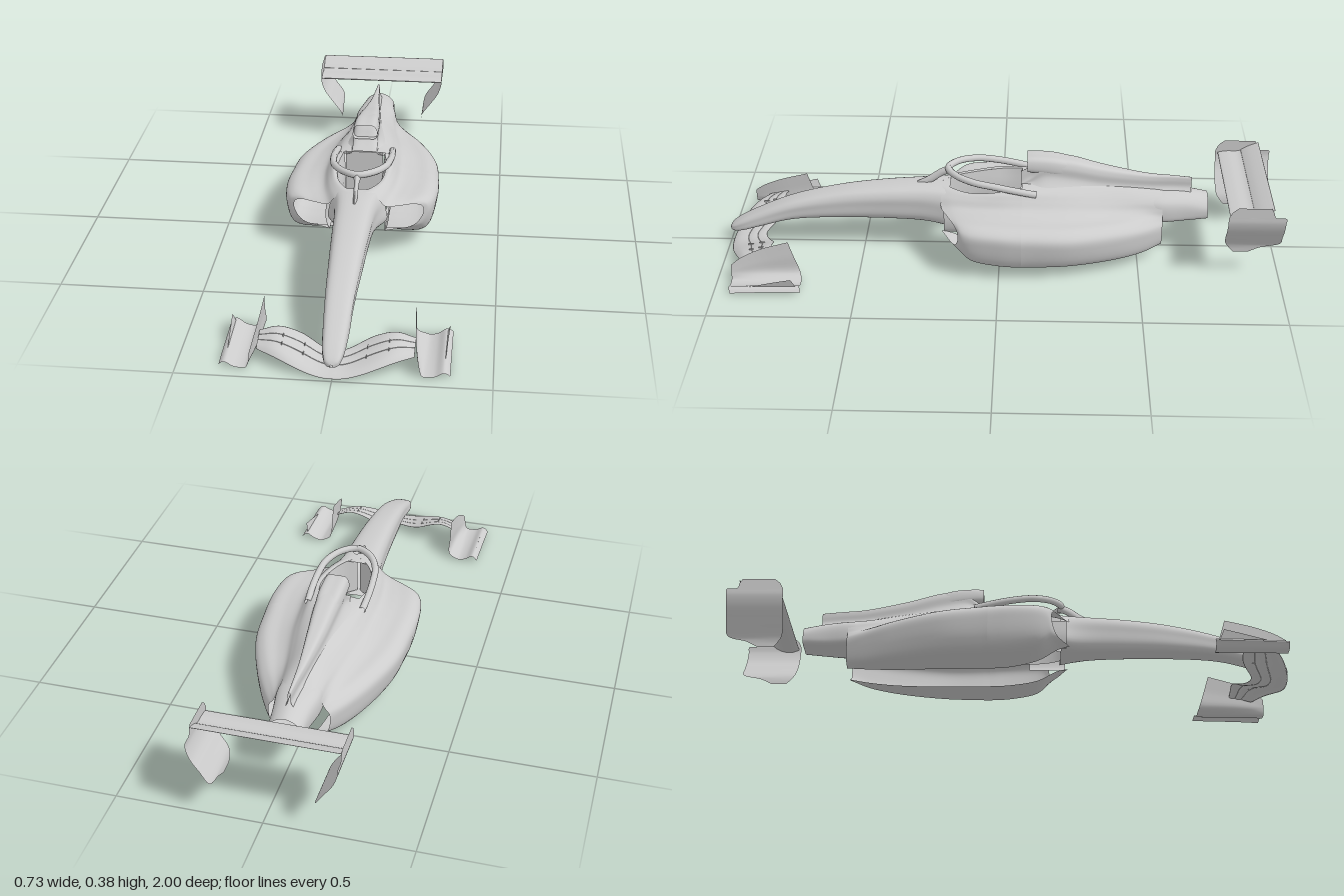
import * as THREE from 'three';

const paint = new THREE.MeshStandardMaterial({ color: 0xcccccc, side: THREE.DoubleSide });
paint.name = 'bodyGrey';

const spline = (pts, closed) => new THREE.CatmullRomCurve3(pts, closed, 'centripetal');
const step = (a, b, x) => THREE.MathUtils.smoothstep(x, a, b);

// Smooth skin through rows of [x, y, z] points; closed rows make a ring
function loft(rows, nu, nv, closed = false) {
  const rings = rows.map(r => {
    const c = spline(r.map(p => new THREE.Vector3(...p)), closed);
    return Array.from({ length: closed ? nu : nu + 1 }, (_, i) => c.getPoint(i / nu));
  });
  const n = rings[0].length, pos = [], idx = [];
  const columns = rings[0].map((_, i) => spline(rings.map(r => r[i]), false));
  for (let j = 0; j <= nv; j++) for (const c of columns) pos.push(...c.getPoint(j / nv).toArray());
  for (let j = 0; j < nv; j++) for (let i = 0; i < nu; i++) {
    const a = j * n + i, b = j * n + (i + 1) % n;
    idx.push(a, b, a + n, b, b + n, a + n);
  }
  const g = new THREE.BufferGeometry();
  g.setAttribute('position', new THREE.Float32BufferAttribute(pos, 3));
  g.setIndex(idx);
  g.computeVertexNormals();
  return g;
}

const flip = (rows, s) => rows.map(r => r.map(([x, y, z]) => [x * s, y, z]));
// Half row starting on the centre line -> full row
const full = row => [...row.slice(1).reverse().map(([x, y, z]) => [-x, y, z]), ...row];
// Half ring whose first and last points lie on the centre line -> whole ring
const ring = row => [...row, ...row.slice(1, -1).reverse().map(([x, y, z]) => [-x, y, z])];

export function createModel() {
  const model = new THREE.Group();
  const add = (name, geometry) => {
    const m = new THREE.Mesh(geometry, paint);
    m.name = name;
    model.add(m);
    return m;
  };
  const sides = fn => [[1, 'left'], [-1, 'right']].forEach(([s, n]) => fn(s, n));

  // Nose: z, half width at top and bottom, top, bottom
  const nose = [
    [0.998, 0.004, 0.004, 0.062, 0.054], [0.99, 0.02, 0.02, 0.074, 0.05], [0.96, 0.031, 0.032, 0.096, 0.052],
    [0.89, 0.038, 0.042, 0.132, 0.074], [0.76, 0.046, 0.047, 0.186, 0.11], [0.57, 0.055, 0.056, 0.232, 0.124],
    [0.41, 0.063, 0.062, 0.252, 0.125], [0.29, 0.069, 0.07, 0.26, 0.122], [0.23, 0.077, 0.085, 0.262, 0.118], [0.18, 0.09, 0.11, 0.261, 0.115],
  ].map(([z, wt, wb, t, b]) => {
    const h = t - b;
    return ring([[0, t, z], [wt * 0.75, t - h * 0.06, z], [wt, t - h * 0.25, z], [(wt + wb) / 2, b + h * 0.5, z],
      [wb * 0.95, b + h * 0.2, z], [wb * 0.65, b + h * 0.02, z], [0, b, z]]);
  });
  add('nose', loft(nose, 48, 64, true));

  // Side body, from cockpit rim over the shoulder to the floor's inner edge
  const front = [
    [0.21, [[0.005, 0.262], [0.04, 0.259], [0.075, 0.24], [0.1, 0.212], [0.15, 0.204], [0.2, 0.2], [0.228, 0.186], [0.23, 0.155], [0.2, 0.118], [0.1, 0.115]]],
    [0.17, [[0.045, 0.26], [0.065, 0.258], [0.09, 0.243], [0.115, 0.22], [0.16, 0.211], [0.216, 0.207], [0.245, 0.19], [0.249, 0.155], [0.222, 0.108], [0.096, 0.104]]],
    [0.1, [[0.078, 0.259], [0.09, 0.26], [0.108, 0.247], [0.13, 0.223], [0.175, 0.215], [0.235, 0.21], [0.261, 0.19], [0.264, 0.155], [0.234, 0.075], [0.09, 0.065]]],
    [0, [[0.087, 0.27], [0.104, 0.27], [0.12, 0.251], [0.14, 0.226], [0.19, 0.214], [0.245, 0.208], [0.273, 0.187], [0.275, 0.15], [0.24, 0.055], [0.082, 0.043]]],
    [-0.08, [[0.075, 0.28], [0.1, 0.273], [0.118, 0.251], [0.14, 0.226], [0.19, 0.211], [0.245, 0.204], [0.272, 0.181], [0.275, 0.146], [0.24, 0.05], [0.08, 0.038]]],
  ].map(([z, r], i) => r.map(([x, y]) => [x, y, z - Math.max(0, x - 0.1) * [0.5, 0.25, 0, 0, 0][i]]));
  const rim = front.map(r => r[0]);
  const inlet = [0.2, 0.14, 0.07].map(z => [[0.108, 0.212, z], [0.112, 0.16, z], [0.106, 0.125, z], [0.097, 0.108, z]]);
  sides((s, n) => {
    add(n + 'SidepodFront', loft(flip(front, s), 54, 24));
    add(n + 'InletInnerWall', loft(flip(inlet, s), 12, 6));
    // Cockpit wall hanging from the rim
    const wall = rim.map(([x, y, z]) => [[x, y, z], [Math.min(x, 0.07), y - 0.06, z], [Math.min(x, 0.068), 0.12, z]]);
    add(n + 'CockpitWall', loft(flip(wall, s), 8, 16));
  });

  // Rear body, tapering to the tail
  const rear = [[-0.08, [[0, 0.286], ...front[4].map(([x, y]) => [x, y])]],
    [-0.25, [[0, 0.3], [0.055, 0.28], [0.085, 0.262], [0.105, 0.242], [0.128, 0.219], [0.17, 0.202], [0.225, 0.194], [0.255, 0.171], [0.258, 0.136], [0.225, 0.05], [0.08, 0.037]]],
    [-0.42, [[0, 0.28], [0.035, 0.265], [0.06, 0.246], [0.08, 0.225], [0.098, 0.204], [0.125, 0.191], [0.165, 0.182], [0.195, 0.16], [0.199, 0.126], [0.175, 0.05], [0.07, 0.038]]],
    [-0.52, [[0, 0.262], [0.028, 0.253], [0.052, 0.24], [0.071, 0.222], [0.082, 0.202], [0.095, 0.187], [0.118, 0.173], [0.144, 0.15], [0.147, 0.12], [0.13, 0.055], [0.06, 0.045]]],
    [-0.585, [[0, 0.252], [0.026, 0.246], [0.05, 0.236], [0.07, 0.218], [0.079, 0.197], [0.084, 0.18], [0.092, 0.166], [0.105, 0.148], [0.108, 0.12], [0.095, 0.07], [0.05, 0.053]]],
  ].map(([z, r]) => full(r.map(([x, y]) => [x, y, z])));
  add('rearBody', loft(rear, 120, 32));

  const bulkhead = add('cockpitBulkhead', new THREE.BoxGeometry(0.136, 0.16, 0.006));
  bulkhead.position.set(0, 0.2, -0.085);

  // Tail outlet, open at the back
  const tail = [[-0.53, 0.077, 0.25, 0.146], [-0.585, 0.079, 0.25, 0.142], [-0.67, 0.066, 0.244, 0.144], [-0.75, 0.059, 0.23, 0.15]]
    .map(([z, w, t, b]) => ring([[0, t, z], [w * 0.6, t - 0.012, z], [w * 0.92, t - 0.033, z], [w, b + 0.03, z], [w * 0.9, b + 0.004, z], [0, b, z]]));
  add('tail', loft(tail, 40, 12, true));

  // Engine cover: z, top, half width at top, half width at base, base height
  const cover = [
    [-0.075, 0.286, 0.045, 0.08, 0.27], [-0.115, 0.318, 0.044, 0.095, 0.262], [-0.16, 0.37, 0.044, 0.105, 0.25], [-0.25, 0.366, 0.041, 0.103, 0.237],
    [-0.37, 0.336, 0.032, 0.088, 0.22], [-0.53, 0.306, 0.016, 0.065, 0.215], [-0.62, 0.3, 0.009, 0.05, 0.215], [-0.69, 0.294, 0.005, 0.035, 0.215],
  ].map(([z, t, w, wb, yb]) => {
    const h = t - yb;
    return full([[0, t, z], [w * 0.7, t - h * 0.03, z], [w, t - h * 0.2, z], [w * 1.06, t - h * 0.5, z],
      [w * 0.55 + wb * 0.45, t - h * 0.78, z], [wb, yb, z]]);
  });
  add('engineCover', loft(cover, 60, 40));

  // Air intake above the cockpit, open at the front
  const intake = [[-0.098, 0.378, 0.326, 0.045], [-0.13, 0.379, 0.324, 0.046], [-0.2, 0.374, 0.315, 0.045], [-0.3, 0.35, 0.29, 0.034]]
    .map(([z, t, b, w]) => ring([[0, t, z], [w * 0.65, t - 0.001, z], [w * 0.9, t - 0.012, z], [w, b + 0.014, z], [w * 0.85, b + 0.001, z], [0, b, z]]));
  add('airIntake', loft(intake, 40, 14, true));

  // Driver protection hoop and its pillar
  const half = [[0.1, 0.268, -0.13], [0.104, 0.284, -0.06], [0.102, 0.3, 0.02], [0.092, 0.31, 0.09], [0.055, 0.317, 0.155]];
  const hoop = [...half, [0, 0.319, 0.187], ...half.map(([x, y, z]) => [-x, y, z]).reverse()];
  add('cockpitHoop', new THREE.TubeGeometry(spline(hoop.map(p => new THREE.Vector3(...p))), 72, 0.0125, 10));
  const pillar = [[0.3, 0.256, 0.004], [0.26, 0.277, 0.007], [0.215, 0.308, 0.008], [0.18, 0.322, 0.014]]
    .map(([z, y, w]) => ring([[0, y + 0.008, z], [w, y - 0.004, z], [w, y - 0.014, z - 0.006], [0, y - 0.02, z - 0.01]]));
  add('hoopPillar', loft(pillar, 20, 14, true));

  // Front wing: three elements stacked from leading to trailing edge
  const wingPoint = (x, t) => {
    const a = Math.abs(x);
    const z0 = 0.99 - 1.4 * a * a, z1 = 0.865 - 0.045 * step(0, 0.12, a);
    const y0 = 0.005 + 0.039 * step(0.01, 0.22, a);
    const y1 = 0.032 + 0.051 * step(0.02, 0.19, a) - 0.02 * step(0.19, 0.265, a);
    return [y0 + (y1 - y0) * (0.35 * t + 0.65 * Math.sqrt(t)), z0 + (z1 - z0) * t];
  };
  [[0, 0.45], [0.445, 0.72], [0.715, 1]].forEach(([a, b], k) => {
    const rows = Array.from({ length: 25 }, (_, i) => {
      const x = (i / 12 - 1) * 0.251;
      const at = (f, d) => { const [y, z] = wingPoint(x, a + (b - a) * f); return [x, y + d, z]; };
      return [at(0, 0), at(0.3, 0.002), at(0.7, 0.002), at(1, 0), at(0.7, -0.003), at(0.3, -0.003)];
    });
    add('frontWingElement' + (k + 1), loft(rows, 18, 48, true));
  });

  sides((s, n) => {
    // Slot brackets
    for (const x of [0.1, 0.17]) for (const t of [0.45, 0.72]) {
      const [y, z] = wingPoint(x, t);
      add(n + 'WingBracket', new THREE.BoxGeometry(0.003, 0.006, 0.02)).position.set(s * x, y + 0.002, z);
    }
    // Front endplate flowing into the foot plate: z, height, inner x
    const plate = [[0.95, 0.06, 0.266], [0.9, 0.086, 0.259], [0.82, 0.116, 0.251], [0.7, 0.146, 0.246]].map(([z, h, x], i) => {
      const lean = i * 0.015, lift = i * 0.003;
      return [[x, h, z + lean], [x + 0.002, h * 0.6, z + lean * 0.6], [x + 0.004, 0.025, z + lean * 0.15], [0.277, 0.006 + lift * 0.3, z],
        [0.292, 0.003 + lift * 0.2, z], [0.318, 0.006 + lift * 0.6, z], [0.343, 0.019 + lift, z - 0.002], [0.354, 0.017 + lift, z - 0.004], [0.366, 0.006 + lift, z - 0.008]];
    });
    add(n + 'FrontEndplate', loft(flip(plate, s), 40, 16));
    const fin = [[[0.346, 0.02, 0.88], [0.348, 0.023, 0.875]], [[0.347, 0.022, 0.8], [0.353, 0.045, 0.79]], [[0.348, 0.025, 0.71], [0.357, 0.06, 0.725]]];
    add(n + 'FootplateFin', loft(flip(fin, s), 4, 10));

    // Rear endplate curling inward at the bottom: y, x, front z, back z
    const curl = [[0.312, 0.247, -0.832, -0.945], [0.295, 0.247, -0.812, -0.955], [0.276, 0.247, -0.802, -0.962], [0.272, 0.247, -0.8, -1],
      [0.25, 0.246, -0.8, -1], [0.21, 0.232, -0.8, -1], [0.17, 0.205, -0.8, -1], [0.125, 0.174, -0.806, -0.998],
      [0.105, 0.167, -0.818, -0.93], [0.085, 0.165, -0.835, -0.89]]
      .map(([y, x, a, b]) => [[x, y, a], [x, y, (a + b) / 2], [x, y, b]]);
    add(n + 'RearEndplate', loft(flip(curl, s), 8, 54));
  });

  // Rear wing main plane and flap: z, y along each section
  const span = (name, section) => add(name, loft([-1, 0, 1].map(s => section.map(([z, y]) => [s * 0.246, y, z])), 32, 2, true));
  span('rearWingMainPlane', [[-0.808, 0.262], [-0.84, 0.269], [-0.88, 0.27], [-0.905, 0.276], [-0.88, 0.258], [-0.84, 0.25]]);
  span('rearWingFlap', [[-0.893, 0.274], [-0.91, 0.286], [-0.935, 0.298], [-0.957, 0.306], [-0.935, 0.29], [-0.91, 0.276]]);

  return model;
}
